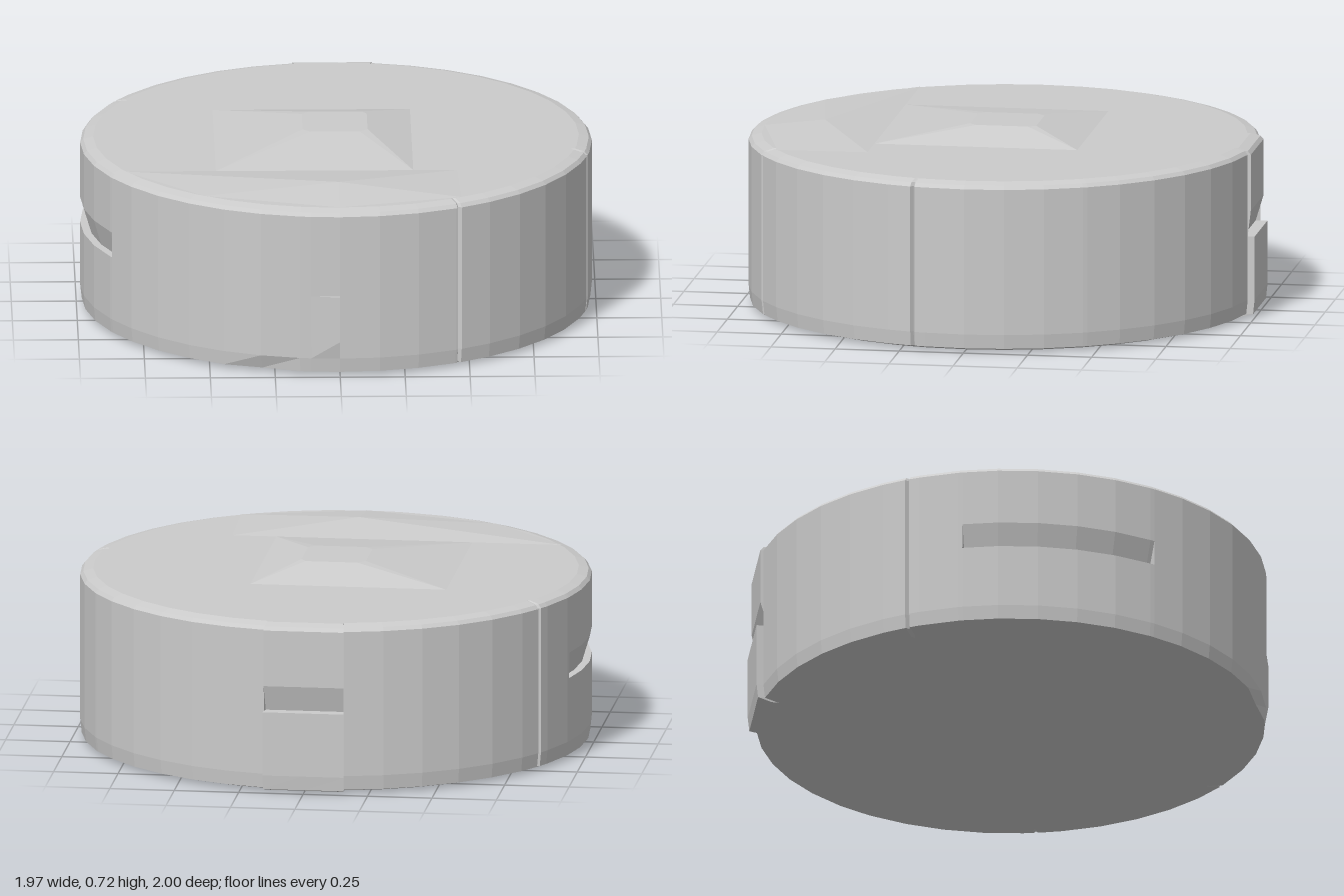
import * as THREE from 'three';

const R = 0.985, TOP = 0.664;
const material = new THREE.MeshStandardMaterial({ color: 0xcccccc, flatShading: true });

function makeMesh(name, positions) {
  const geometry = new THREE.BufferGeometry();
  geometry.setAttribute('position', new THREE.Float32BufferAttribute(positions, 3));
  geometry.computeVertexNormals();
  const mesh = new THREE.Mesh(geometry, material);
  mesh.name = name;
  return mesh;
}

// Horizontal angle in degrees: 0 is the front, 90 is +x, 180 is the back.
const grooves = [28, 78, 240];
const steps = [118, 171, 189, 253, 298, 353.5, 360];

// Wall radius with its seams, side shelf, back clip and front tab
function wallRadius(deg, y, above) {
  const inside = (a, b) => deg > a && deg < b;
  const dent = above ? 0.03 * Math.max(0, 1 - (y - 0.32) / 0.1) : 0;
  if (grooves.includes(deg)) return R - 0.014;
  if (inside(171, 189)) {
    return ((above ? R : 1) - dent) / Math.cos(THREE.MathUtils.degToRad(deg - 180));
  }
  if (inside(253, 298)) return R - dent;
  if (inside(353.5, 360) && !above && y > 0.1) return R + 0.013 * (deg - 353.5) / 6.5;
  if (inside(333, 350) && y < 0.03) return R - 0.015;
  return R;
}

function createBody() {
  const angles = [];
  for (let a = 0; a < 360; a += 9) angles.push(a);
  for (const g of grooves) angles.push(g - 0.5, g, g + 0.5);
  for (const s of steps) angles.push(s - 0.05, s + 0.05 - (s === 360 ? 0.05 : 0));
  angles.sort((a, b) => a - b);

  // Profile rows: height, inset from the wall, above the ledge or not
  const rows = [
    [0, 0.06, false], [0.015, 0.006, false], [0.07, 0, false], [0.14, 0, false],
    [0.32, 0, false], [0.32, 0, true], [0.42, 0, true], [0.64, 0, true],
    [0.654, 0.012, true], [TOP, 0.05, true],
  ];
  const point = (deg, [y, inset, above]) => {
    const r = wallRadius(deg, y, above) - inset;
    const t = THREE.MathUtils.degToRad(deg);
    return [r * Math.sin(t), y, r * Math.cos(t)];
  };

  const out = [];
  const last = rows[rows.length - 1];
  for (let i = 0; i < angles.length - 1; i++) {
    const a = angles[i], b = angles[i + 1];
    for (let j = 0; j < rows.length - 1; j++) {
      const p = point(a, rows[j]), q = point(b, rows[j]);
      const s = point(b, rows[j + 1]), t = point(a, rows[j + 1]);
      out.push(...p, ...q, ...s, ...p, ...s, ...t);
    }
    // Flat caps
    out.push(0, TOP, 0, ...point(a, last), ...point(b, last));
    out.push(0, 0, 0, ...point(b, rows[0]), ...point(a, rows[0]));
  }
  return makeMesh('body', out);
}

// Low mound: sloped faces from a rectangular base to a small chamfered top
function createMound() {
  const base = [[-0.47, 0.46], [0.29, 0.46], [0.29, -0.33], [-0.47, -0.33]];
  const chamfer = [
    [[-0.13, 0.09], [-0.1, 0.12]], [[0.09, 0.12], [0.12, 0.09]],
    [[0.12, -0.11], [0.1, -0.14]], [[-0.1, -0.14], [-0.13, -0.11]],
  ];
  const low = ([x, z]) => [x, TOP + 0.001, z];
  const high = ([x, z]) => [x, 0.716, z];
  const out = [];
  for (let i = 0; i < 4; i++) {
    const k = (i + 1) % 4;
    const p = low(base[i]), q = low(base[k]);
    const c0 = high(chamfer[i][0]), c1 = high(chamfer[i][1]), d0 = high(chamfer[k][0]);
    out.push(...p, ...q, ...d0, ...p, ...d0, ...c1, ...p, ...c1, ...c0);
    out.push(0, 0.716, 0, ...c0, ...c1, 0, 0.716, 0, ...c1, ...d0);
  }
  return makeMesh('centreMound', out);
}

// Shallow front rise: a fan of facets around one raised point
function createFrontRise() {
  const rim = [[-0.82, 0.46], [-0.52, 0.78], [0, 0.935], [0.47, 0.81], [0.46, 0.46]];
  const out = [];
  rim.forEach(([x, z], i) => {
    const [x2, z2] = rim[(i + 1) % rim.length];
    out.push(0, 0.694, 0.7, x, TOP + 0.001, z, x2, TOP + 0.001, z2);
  });
  return makeMesh('frontRise', out);
}

export function createModel() {
  const group = new THREE.Group();
  group.name = 'roundCase';
  group.add(createBody(), createMound(), createFrontRise());
  return group;
}
